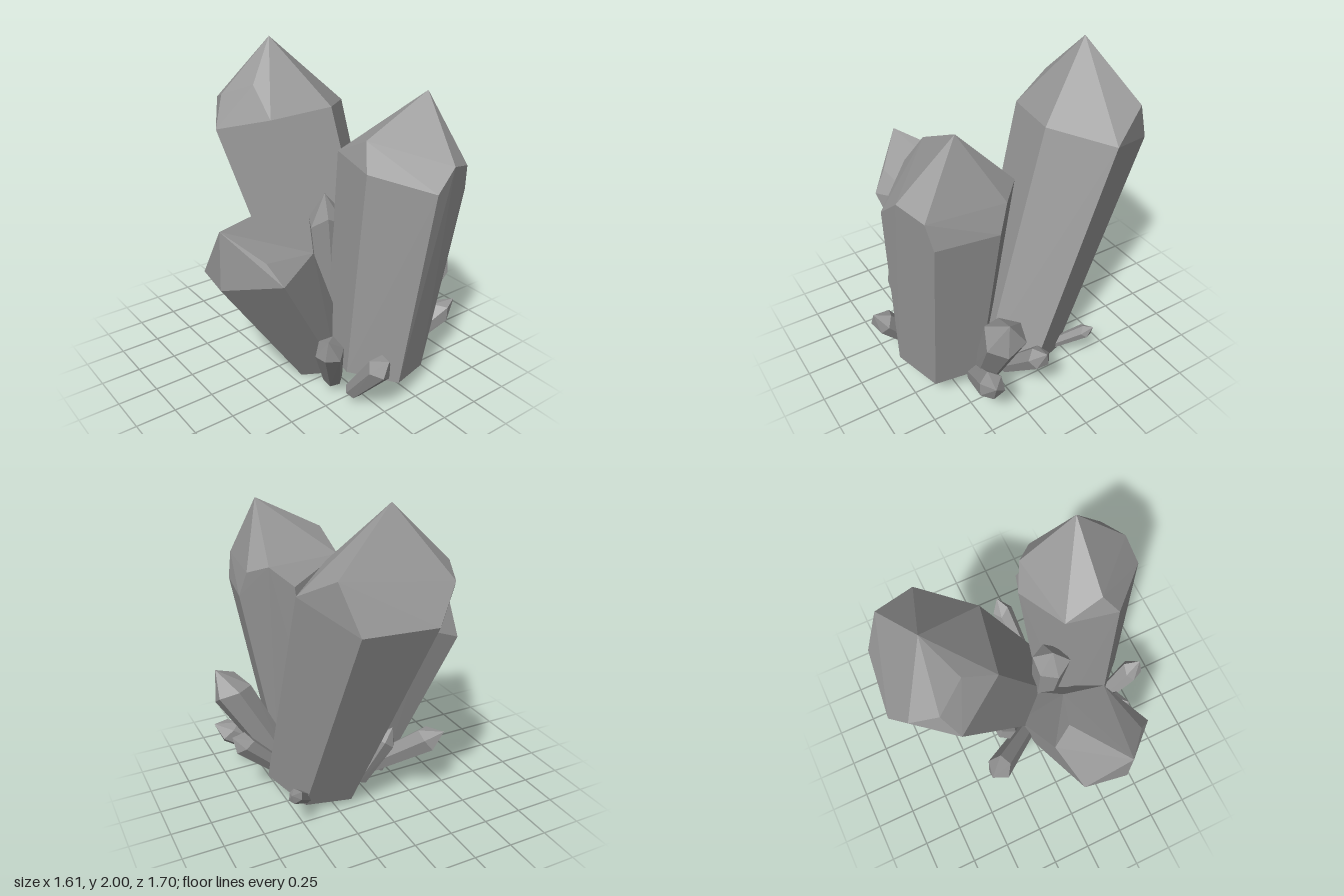
import * as THREE from 'three';
import { ConvexGeometry } from 'three/addons/geometries/ConvexGeometry.js';

const V = ([x, y, z]) => new THREE.Vector3(x, y, z);
const material = new THREE.MeshStandardMaterial({ color: 0x989898, flatShading: true });

function hullMesh(name, points) {
  const mesh = new THREE.Mesh(new ConvexGeometry(points), material);
  mesh.name = name;
  return mesh;
}

// Large crystal: shoulder ring, extra bevel corners and a tip; the ring is
// projected along the axis and shrunk to form the flat foot.
function largeCrystal({ name, tip, ring, bevels, base, taper }) {
  const top = ring.map(V);
  const foot = V(base);
  const centre = top.reduce((sum, p) => sum.add(p), new THREE.Vector3()).divideScalar(top.length);
  const axis = V(tip).sub(foot).normalize();
  const bottom = top.map((p) =>
    p.clone().sub(centre).projectOnPlane(axis).multiplyScalar(taper).add(foot));
  return hullMesh(name, [...top, ...bottom, ...bevels.map(V), V(tip)]);
}

// Small crystal: six sides widening to uneven shoulders, then a point.
function smallCrystal({ name, tip, base, radius, spin = 0 }) {
  const foot = V(base), point = V(tip);
  const axis = point.clone().sub(foot);
  const length = axis.length();
  axis.normalize();
  const turn = new THREE.Quaternion().setFromUnitVectors(new THREE.Vector3(0, 1, 0), axis);
  const points = [point];
  for (let i = 0; i < 6; i++) {
    const a = spin + (i * Math.PI) / 3;
    const dir = new THREE.Vector3(Math.cos(a), 0, Math.sin(a)).applyQuaternion(turn);
    const shoulder = length - radius * (1.4 + 0.4 * Math.sin(i * 2.3 + spin));
    points.push(foot.clone().addScaledVector(dir, radius * 0.7));
    points.push(foot.clone().addScaledVector(axis, shoulder).addScaledVector(dir, radius));
  }
  return hullMesh(name, points);
}

export function createModel() {
  const group = new THREE.Group();
  group.name = 'crystalCluster';

  const large = [
    {
      name: 'backCrystal', tip: [0.08, 2, -0.54], base: [0.26, 0.115, 0.05], taper: 0.73,
      ring: [[0.57, 1.54, -0.43], [0.27, 1.61, -0.15], [-0.13, 1.58, -0.22],
        [-0.33, 1.48, -0.53], [-0.04, 1.41, -0.85], [0.38, 1.41, -0.8]],
      bevels: [[0.45, 1.68, -0.68], [-0.24, 1.67, -0.6], [-0.18, 1.61, -0.76], [-0.12, 1.75, -0.42]],
    },
    {
      name: 'frontCrystal', tip: [0.43, 1.84, 0.51], base: [0.14, 0.175, 0.47], taper: 0.8,
      ring: [[0.22, 1.38, 0.845], [0.56, 1.29, 0.72], [0.615, 1.29, 0.36],
        [0.35, 1.38, 0.12], [0.01, 1.5, 0.25], [-0.045, 1.47, 0.57]],
      bevels: [[0.36, 1.5, 0.82], [0.53, 1.45, 0.75], [0.58, 1.45, 0.3], [0.48, 1.5, 0.19], [0.02, 1.62, 0.48]],
    },
    {
      name: 'rightCrystal', tip: [-0.795, 1.24, 0.29], base: [-0.03, 0.11, 0.13], taper: 0.7,
      ring: [[-0.23, 1.06, 0.14], [-0.49, 1.0, -0.04], [-0.76, 0.88, 0.03],
        [-0.805, 0.89, 0.29], [-0.57, 0.95, 0.55], [-0.27, 1.0, 0.4]],
      bevels: [[-0.44, 1.16, 0.07], [-0.62, 1.07, 0.46]],
    },
  ];
  large.forEach((c) => group.add(largeCrystal(c)));

  const small = [
    { name: 'middleCrystal', tip: [-0.02, 1.22, 0.17], base: [0.08, 0.12, 0.17], radius: 0.115 },
    { name: 'leftTallShard', tip: [0.785, 0.81, 0.41], base: [0.4, 0.11, 0.32], radius: 0.125, spin: 0.3 },
    { name: 'leftBackShard', tip: [0.785, 0.46, 0.15], base: [0.42, 0.09, 0.2], radius: 0.07, spin: 0.5 },
    { name: 'leftFrontShard', tip: [0.795, 0.38, 0.5], base: [0.38, 0.1, 0.4], radius: 0.08, spin: 0.2 },
    { name: 'rightFrontShard', tip: [-0.32, 0.54, 0.61], base: [-0.12, 0.09, 0.4], radius: 0.085, spin: 0.4 },
    { name: 'frontShard', tip: [-0.07, 0.44, 0.845], base: [-0.09, 0.08, 0.56], radius: 0.075 },
    { name: 'rightBackShard', tip: [-0.385, 0.49, -0.42], base: [-0.06, 0.1, 0], radius: 0.085, spin: 0.6 },
    { name: 'backStub', tip: [-0.13, 0.49, -0.23], base: [0.02, 0.08, -0.08], radius: 0.075, spin: 0.1 },
    { name: 'leftRearShard', tip: [0.6, 0.28, -0.34], base: [0.4, 0.07, -0.13], radius: 0.045 },
  ];
  small.forEach((c) => group.add(smallCrystal(c)));

  return group;
}
